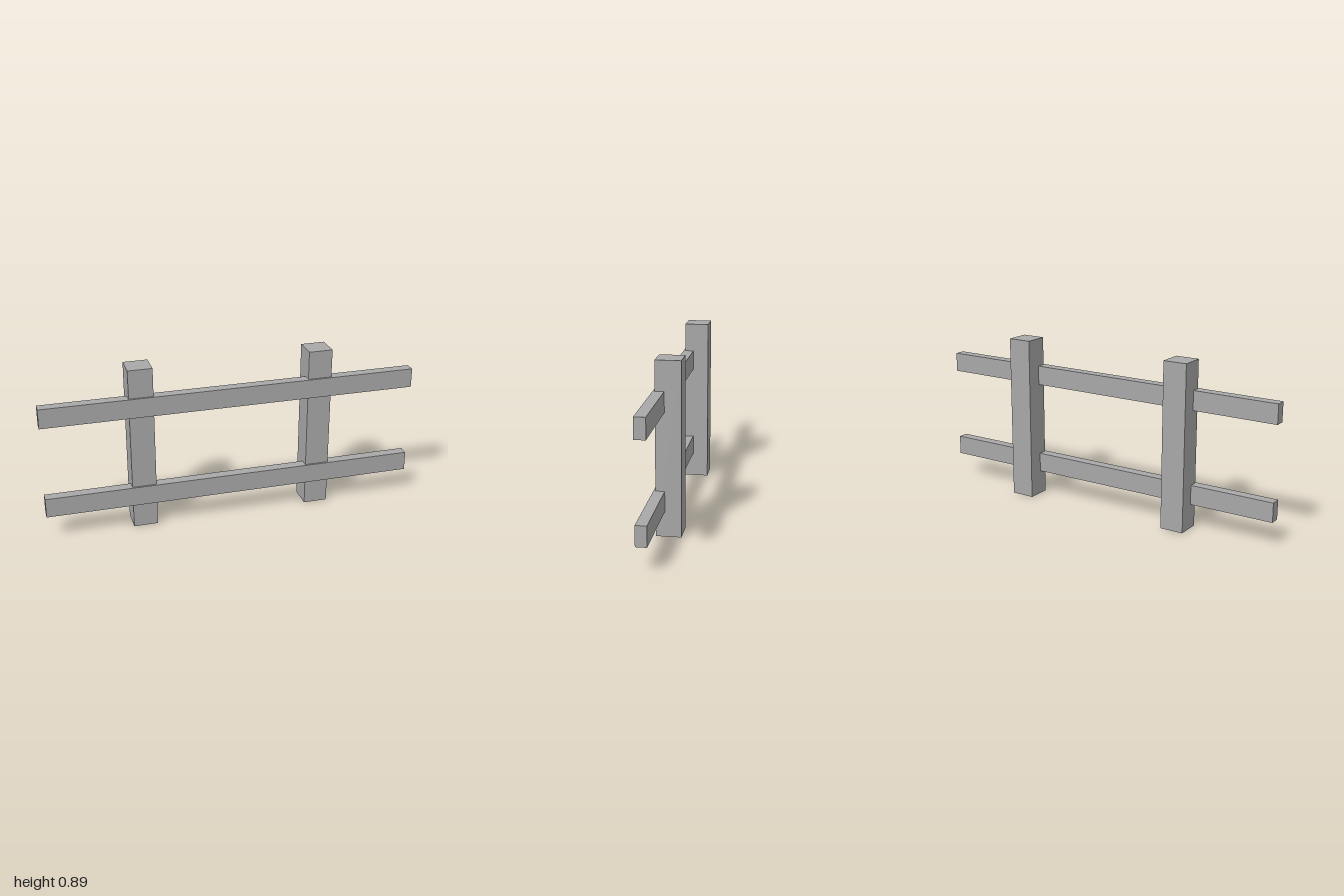
import * as THREE from 'three';

export function createModel() {
  const fence = new THREE.Group();
  fence.name = 'fence';
  const grey = new THREE.MeshStandardMaterial({ name: 'plain grey', color: 0xa8a8a8 });

  // Box spanning the given corners
  function beam(name, [x0, y0, z0], [x1, y1, z1]) {
    const mesh = new THREE.Mesh(new THREE.BoxGeometry(x1 - x0, y1 - y0, z1 - z0), grey);
    mesh.name = name;
    mesh.position.set((x0 + x1) / 2, (y0 + y1) / 2, (z0 + z1) / 2);
    fence.add(mesh);
  }

  // Two square upright posts
  for (const [name, x] of [['rightPost', -0.481], ['leftPost', 0.476]]) {
    beam(name, [x - 0.064, 0, -0.069], [x + 0.064, 0.888, 0.059]);
  }

  // Two long rails let into the front of the posts
  for (const [name, y] of [['lowerRail', 0.131], ['upperRail', 0.632]]) {
    beam(name, [-1, y, 0.013], [1, y + 0.104, 0.069]);
  }

  return fence;
}
